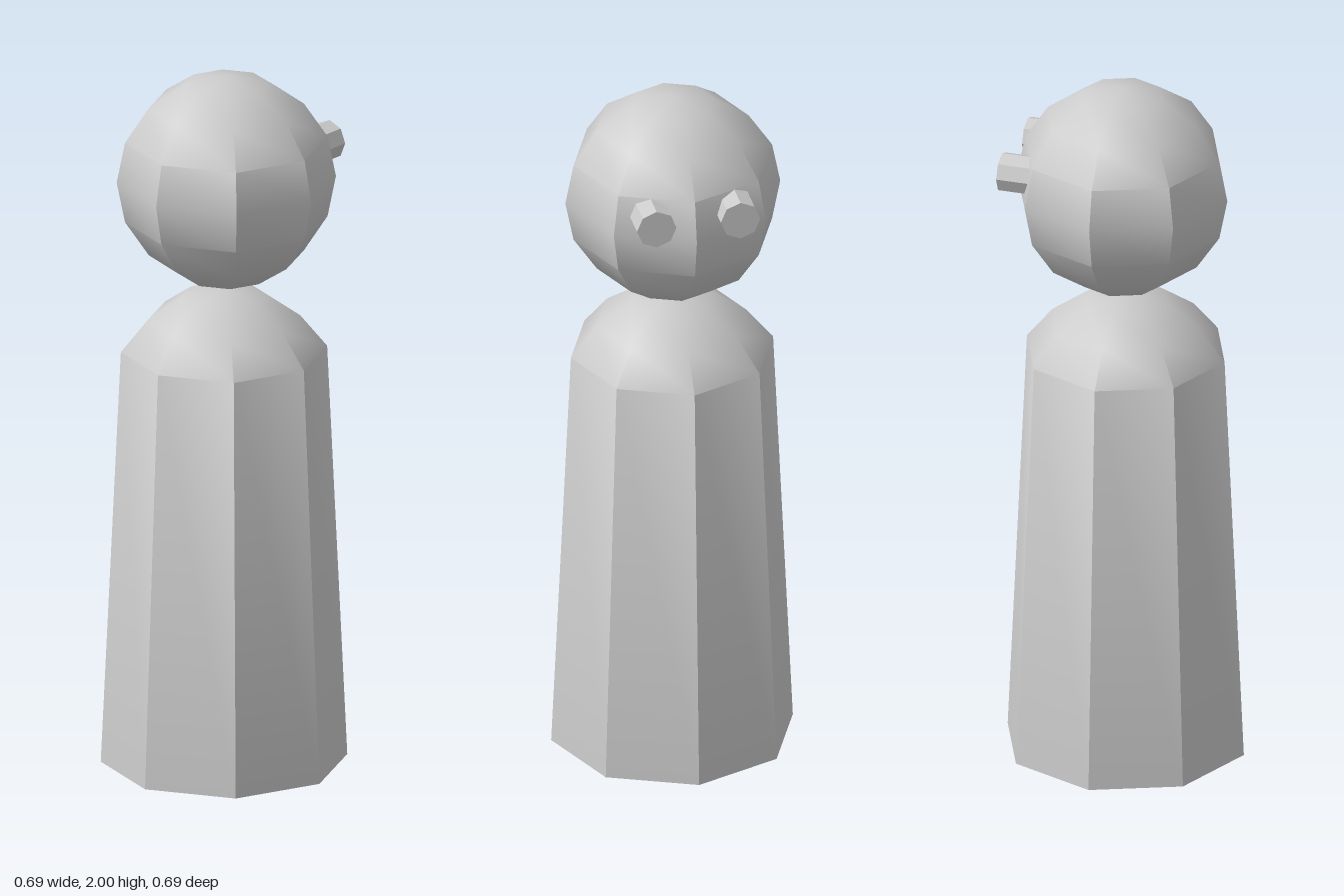
import * as THREE from 'three';
import { toCreasedNormals } from 'three/addons/utils/BufferGeometryUtils.js';

const SIDES = 8;
const CREASE = THREE.MathUtils.degToRad(41);

export function createModel() {
  const group = new THREE.Group();
  const material = new THREE.MeshStandardMaterial({ color: 0xcccccc });

  const add = (name, geometry, x, y, z) => {
    const mesh = new THREE.Mesh(toCreasedNormals(geometry, CREASE), material);
    mesh.name = name;
    mesh.position.set(x, y, z);
    group.add(mesh);
  };

  // Tapered eight-sided body with a domed shoulder, closed underneath
  const profile = [
    [0, 0], [0.343, 0], [0.287, 1.2], [0.212, 1.292], [0.117, 1.358], [0, 1.381],
  ].map(([r, y]) => new THREE.Vector2(r, y));
  add('body', new THREE.LatheGeometry(profile, SIDES), 0, 0, 0);

  // Faceted ball head, just above the shoulder
  add('head', new THREE.SphereGeometry(0.305, SIDES, 8), 0, 1.695, -0.01);

  // Two short pegs for eyes, sunk into the back of the head
  for (const [name, x] of [['leftEye', 0.115], ['rightEye', -0.123]]) {
    const eye = new THREE.CylinderGeometry(0.056, 0.056, 0.17, SIDES);
    eye.rotateX(Math.PI / 2);
    add(name, eye, x, 1.755, -0.235);
  }

  return group;
}
